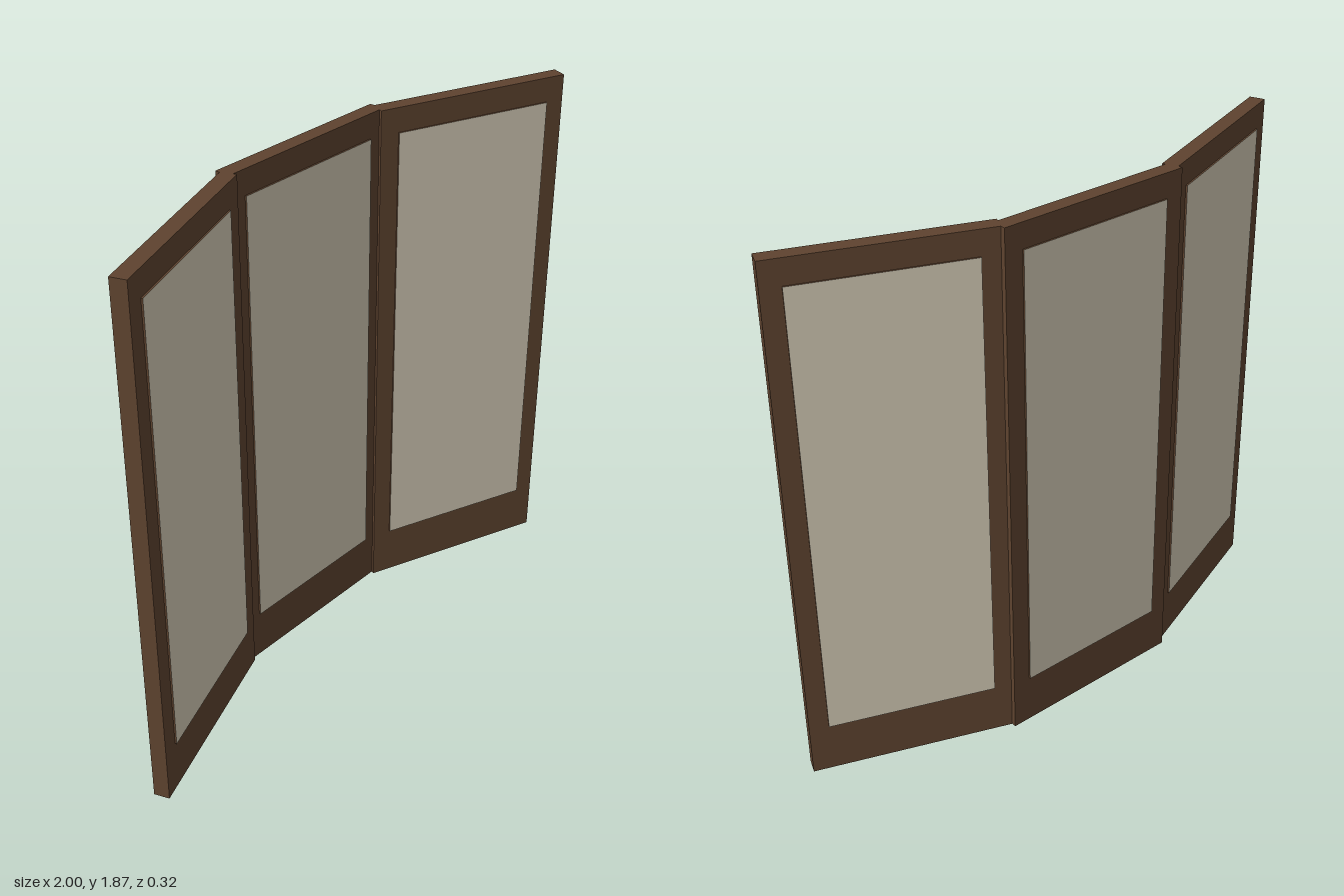
import * as THREE from 'three';

const wood = new THREE.MeshStandardMaterial({ color: 0x5e432f });
wood.name = 'brown wood';
const paper = new THREE.MeshStandardMaterial({ color: 0xd2cab5 });
paper.name = 'cream paper';

const WIDTH = 0.7, HEIGHT = 1.865, DEPTH = 0.054;
const STILE = 0.065, BOTTOM = 0.182, TOP = 1.78;
const PROUD = 0.006; // how far the infill stands out from the frame
const FOLD = 0.365;

// One leaf: a frame with an opening, filled by a wood-edged paper panel
function makeLeaf(name) {
  const leaf = new THREE.Group();
  leaf.name = name;
  const h = WIDTH / 2, o = h - STILE;

  const outline = new THREE.Shape()
    .moveTo(-h, 0).lineTo(h, 0).lineTo(h, HEIGHT).lineTo(-h, HEIGHT).closePath();
  outline.holes.push(new THREE.Path()
    .moveTo(-o, BOTTOM).lineTo(-o, TOP).lineTo(o, TOP).lineTo(o, BOTTOM).closePath());
  const frameGeo = new THREE.ExtrudeGeometry(outline, { depth: DEPTH, bevelEnabled: false });
  frameGeo.translate(0, 0, -DEPTH / 2);
  const frame = new THREE.Mesh(frameGeo, wood);
  frame.name = 'frame';

  // Paper on the front and back faces, wood on the four edges
  const panel = new THREE.Mesh(
    new THREE.BoxGeometry(2 * o, TOP - BOTTOM, DEPTH + 2 * PROUD),
    [wood, wood, wood, wood, paper, paper]);
  panel.name = 'paperPanel';
  panel.position.y = (TOP + BOTTOM) / 2;

  leaf.add(frame, panel);
  return leaf;
}

export function createModel() {
  const screen = new THREE.Group();
  screen.name = 'foldingScreen';

  const centre = makeLeaf('centreLeaf');
  centre.position.z = -0.128;
  screen.add(centre);

  // Side leaves fold forward
  for (const side of [-1, 1]) {
    const leaf = makeLeaf(side > 0 ? 'leftLeaf' : 'rightLeaf');
    leaf.position.set(side * 0.663, 0, 0.01);
    leaf.rotation.y = -side * FOLD;
    screen.add(leaf);
  }
  return screen;
}
